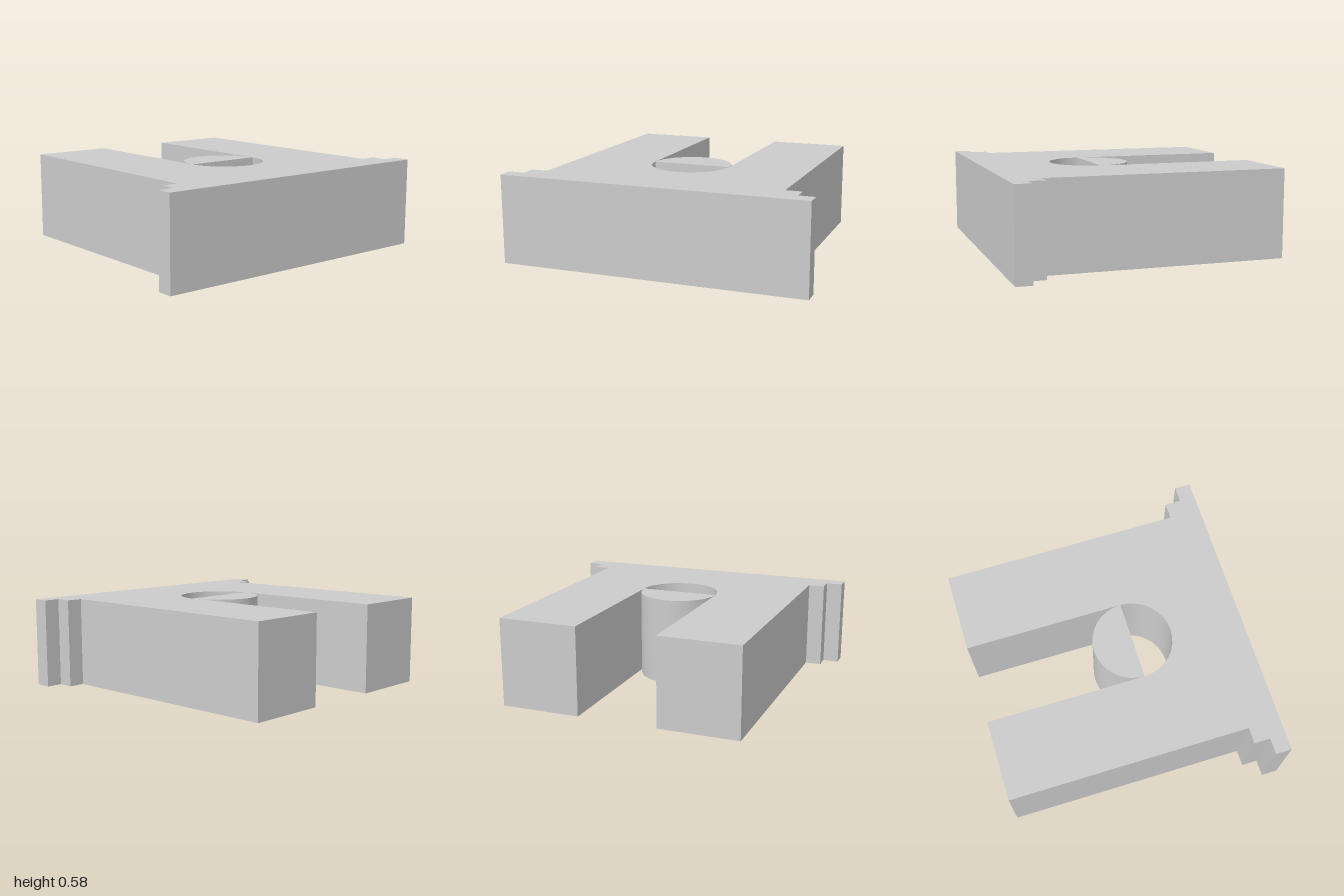
import * as THREE from 'three';
import { toCreasedNormals } from 'three/addons/utils/BufferGeometryUtils.js';

// All plan dimensions are on a regular module, 19 units across the width
const UNIT = 2 / 19;
const HEIGHT = 5.5;
const BORE = { y: -1.5, r: 2.5 };

export function createModel() {
  const group = new THREE.Group();
  const material = new THREE.MeshStandardMaterial({ color: 0xcccccc });

  // Extrudes a plan shape (shape y = -z) upwards from the ground
  const addPlan = (name, shape) => {
    const geometry = new THREE.ExtrudeGeometry(shape, {
      depth: HEIGHT, bevelEnabled: false, curveSegments: 8,
    });
    geometry.rotateX(-Math.PI / 2);
    geometry.scale(UNIT, UNIT, UNIT);
    const mesh = new THREE.Mesh(toCreasedNormals(geometry, 0.5), material);
    mesh.name = name;
    group.add(mesh);
  };

  // U-shaped block: stepped front flange, two arms and a round-ended slot
  const half = [
    [9.5, -8.5], [9.5, -7.5], [8.5, -7.5], [8.5, -6.5], [7.5, -6.5],
    [7.5, 8.5], [BORE.r, 8.5], [BORE.r, BORE.y + 0.05],
  ];
  const block = new THREE.Shape();
  half.forEach(([x, y], i) => (i ? block.lineTo(x, y) : block.moveTo(x, y)));
  block.absarc(0, BORE.y, BORE.r, 0, -Math.PI, true);
  [...half].reverse().forEach(([x, y]) => block.lineTo(-x, y));
  block.closePath();
  addPlan('slottedBlock', block);

  // Half-round plug closing the slot behind the opening
  const plug = new THREE.Shape();
  plug.absarc(0, BORE.y, BORE.r, 0, Math.PI, false);
  plug.closePath();
  addPlan('halfRoundPlug', plug);

  return group;
}
